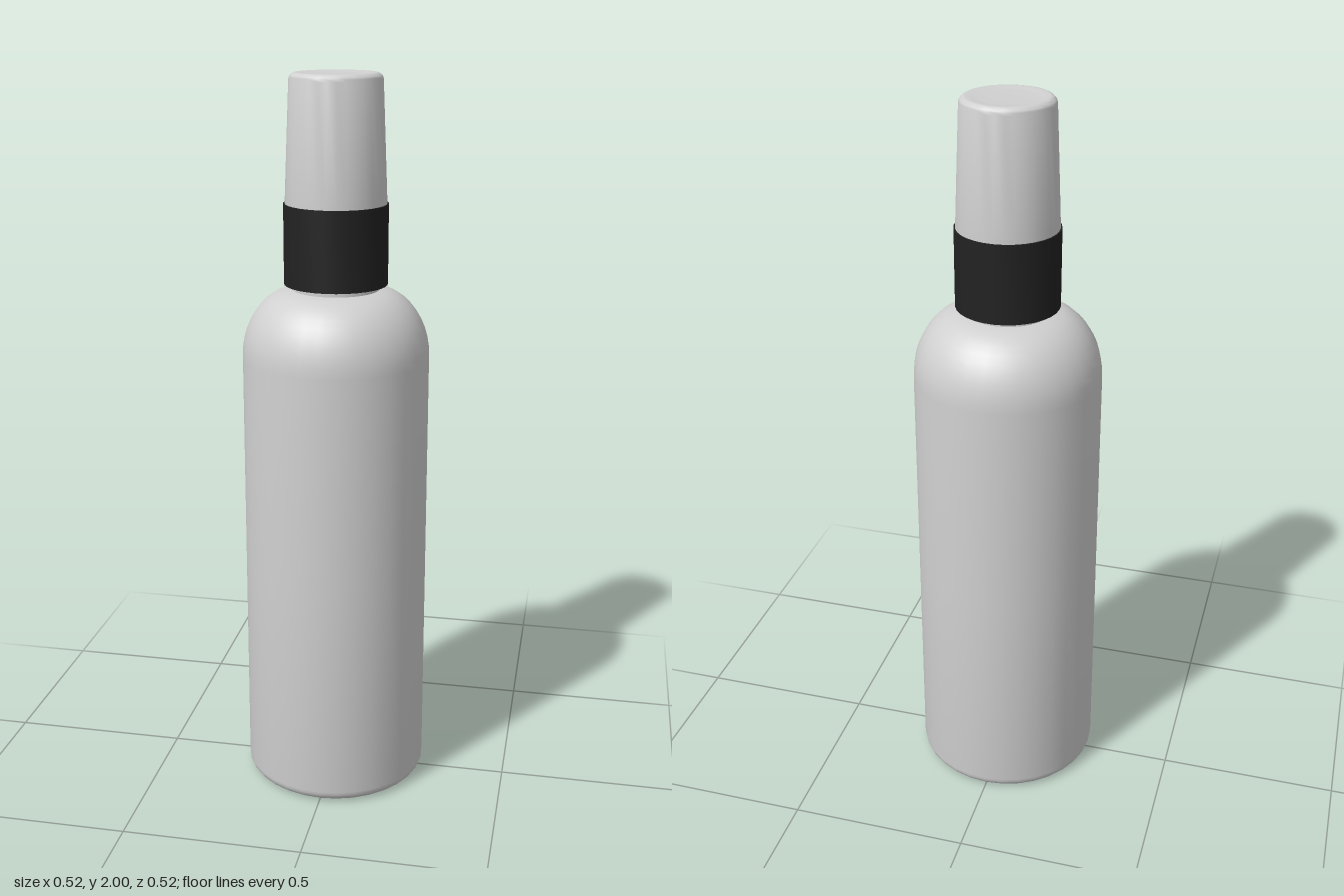
import * as THREE from 'three';
import { toCreasedNormals } from 'three/addons/utils/BufferGeometryUtils.js';

const SEGMENTS = 32;

// Quarter-ellipse points around (cx, cy), from angle a0 to a1 in degrees
function arc(cx, cy, rx, ry, a0, a1, steps) {
  return Array.from({ length: steps + 1 }, (_, i) => {
    const a = THREE.MathUtils.degToRad(a0 + ((a1 - a0) * i) / steps);
    return [cx + rx * Math.cos(a), cy + ry * Math.sin(a)];
  });
}

// Turned part from a [radius, height] profile, listed from bottom to top
function turned(name, profile, material) {
  const points = profile.map(([r, y]) => new THREE.Vector2(Math.max(r, 0), y));
  const geometry = toCreasedNormals(new THREE.LatheGeometry(points, SEGMENTS), 0.6);
  const mesh = new THREE.Mesh(geometry, material);
  mesh.name = name;
  return mesh;
}

export function createModel() {
  const group = new THREE.Group();
  group.name = 'sprayBottle';

  const plastic = new THREE.MeshStandardMaterial({ color: 0xd0d0d0 });
  plastic.name = 'light grey plastic';
  const black = new THREE.MeshStandardMaterial({ color: 0x222222 });
  black.name = 'black collar';

  // Bottle: recessed base with a central boss, straight wall, domed shoulder, neck
  group.add(turned('bottle', [
    [0, 0.018], [0.07, 0.018], [0.1, 0.035], [0.165, 0.035], [0.19, 0],
    [0.225, 0],
    ...arc(0.225, 0.033, 0.033, 0.033, -75, 0, 5),
    [0.2565, 0.65],
    ...arc(0.115, 1.25, 0.14, 0.185, 0, 84, 10),
    [0.118, 1.436], [0.118, 1.5], [0, 1.5],
  ], plastic));

  // Dark collar around the neck
  group.add(turned('collar', [
    [0.115, 1.45], [0.14, 1.45], [0.14, 1.665], [0.115, 1.665],
  ], black));

  // Tapered cap with a rounded rim and a very slightly dished top
  group.add(turned('cap', [
    [0, 1.64], [0.136, 1.64], [0.136, 1.665],
    ...arc(0.105, 1.982, 0.018, 0.018, 0, 90, 5),
    [0.09, 1.997], [0.07, 1.996], [0, 1.996],
  ], plastic));

  return group;
}
